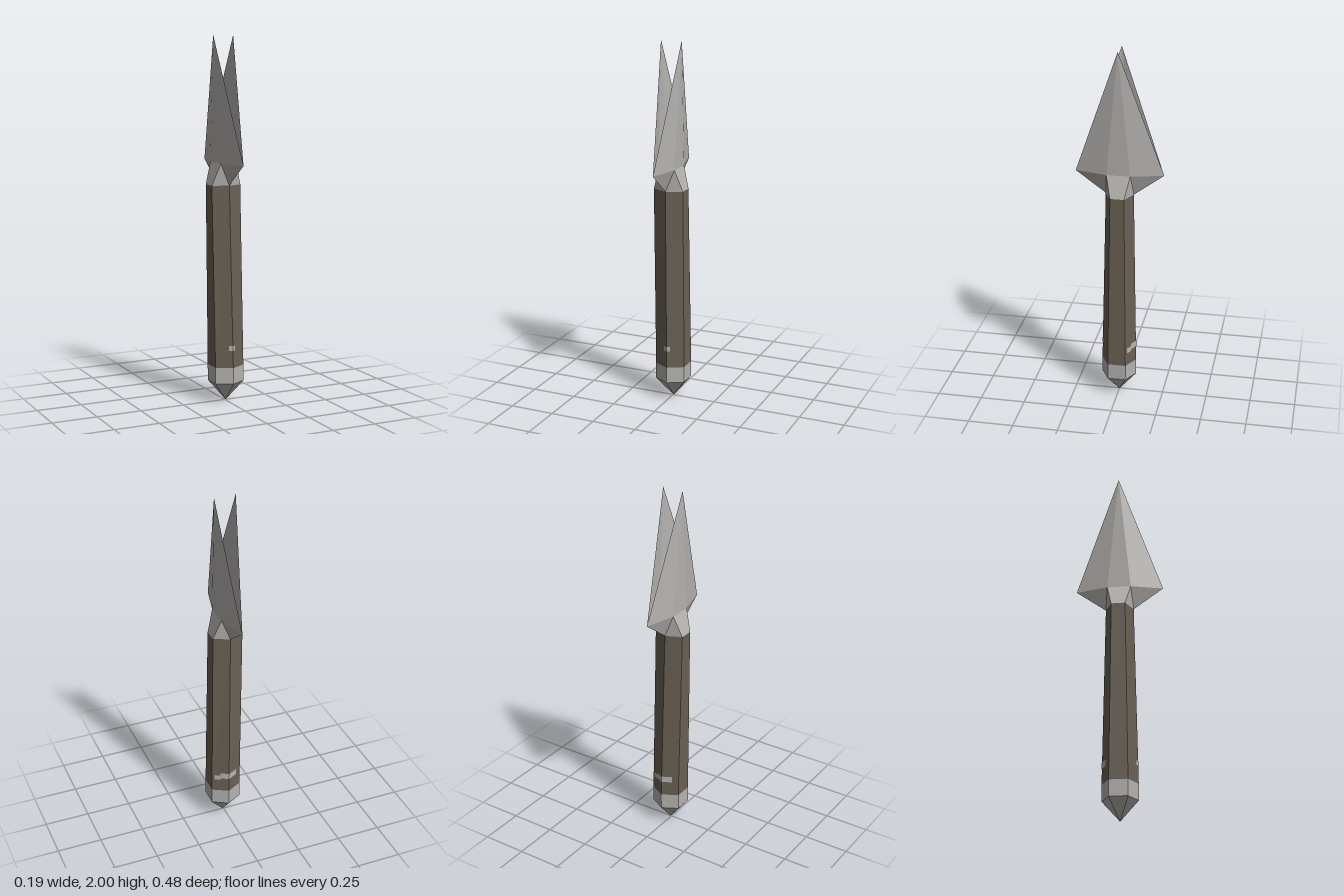
import * as THREE from 'three';

const metal = new THREE.MeshStandardMaterial({ color: 0xb6b4b1, flatShading: true, side: THREE.DoubleSide });
metal.name = 'grey metal';
const wood = new THREE.MeshStandardMaterial({ color: 0x6a6155, flatShading: true, side: THREE.DoubleSide });
wood.name = 'brown wood';

// Six-sided cross-section, starting at the front corner and turning towards +x
function ring(y, cx, hx, rz, sz) {
  return [
    [cx, y, rz], [cx + hx, y, sz], [cx + hx, y, -sz],
    [cx, y, -rz], [cx - hx, y, -sz], [cx - hx, y, sz],
  ];
}

// Shaft section at a given height: leans and narrows slightly upwards
function shaftRing(y, scale = 1) {
  const t = (y - 0.2) / 1.0;
  const l = THREE.MathUtils.lerp;
  return ring(y, l(0.005, -0.01, t), 0.085 * scale, l(0.097, 0.077, t) * scale, l(0.05, 0.038, t) * scale);
}

// Flat polygons, fanned into triangles
function surface(name, faces, material) {
  const pos = [];
  for (const f of faces)
    for (let i = 1; i < f.length - 1; i++) pos.push(...f[0], ...f[i], ...f[i + 1]);
  const geo = new THREE.BufferGeometry();
  geo.setAttribute('position', new THREE.Float32BufferAttribute(pos, 3));
  geo.computeVertexNormals();
  const mesh = new THREE.Mesh(geo, material);
  mesh.name = name;
  return mesh;
}

// Side walls between two sections
function walls(a, b) {
  return a.map((p, i) => [p, a[(i + 1) % 6], b[(i + 1) % 6], b[i]]);
}

// Thin plate on one shaft side, from fraction t0 to t1 of its width
function patch(side, t0, t1, y0, y1) {
  const at = (y, t) => {
    const r = shaftRing(y, 1.025);
    return r[side].map((v, k) => THREE.MathUtils.lerp(v, r[(side + 1) % 6][k], t));
  };
  return [at(y0, t0), at(y0, t1), at(y1, t1), at(y1, t0)];
}

// One half of the split head: socket side, lower fins and leaning blade
function headHalf(s, socketX, tipX) {
  const r = shaftRing(1.2);
  const [front, c1, c2, back] = s > 0 ? [r[0], r[1], r[2], r[3]] : [r[0], r[5], r[4], r[3]];
  const a = [socketX, 1.32, 0.065], b = [socketX, 1.32, -0.065];
  const finF = [-0.008, 1.32, 0.24], finB = [-0.008, 1.32, -0.24];
  const tip = [tipX, 2, 0];
  const orient = (faces) => (s > 0 ? faces : faces.map((f) => [...f].reverse()));
  const g = new THREE.Group();
  g.name = s > 0 ? 'leftHeadHalf' : 'rightHeadHalf';
  g.add(
    surface('socket', orient([[c1, c2, b, a], [front, c1, a], [c2, back, b]]), metal),
    surface('lowerFins', orient([[front, a, finF], [back, finB, b]]), metal),
    surface('blade', orient([[a, b, tip], [finF, a, tip], [b, finB, tip]]), metal),
  );
  return g;
}

export function createModel() {
  const model = new THREE.Group();
  model.name = 'spear';

  // Pointed butt and metal band
  const low = ring(0.11, 0.005, 0.085, 0.097, 0.05);
  const high = shaftRing(0.2);
  const point = [0.005, 0, 0];
  model.add(surface('buttPoint', low.map((p, i) => [point, low[(i + 1) % 6], p]), metal));
  model.add(surface('buttBand', walls(low, high), metal));

  // Hollow wooden shaft
  model.add(surface('shaft', walls(high, shaftRing(1.2)), wood));

  // Worn remnants of a ring near the bottom
  model.add(surface('wornRing', [
    patch(2, 0.15, 0.5, 0.275, 0.305),
    patch(2, 0.5, 1, 0.285, 0.32),
    patch(3, 0, 0.6, 0.285, 0.32),
    patch(5, 0.78, 1, 0.297, 0.323),
    patch(0, 0, 0.2, 0.297, 0.323),
  ], metal));

  // Split spearhead
  model.add(headHalf(1, 0.037, 0.05), headHalf(-1, -0.055, -0.068));
  return model;
}
